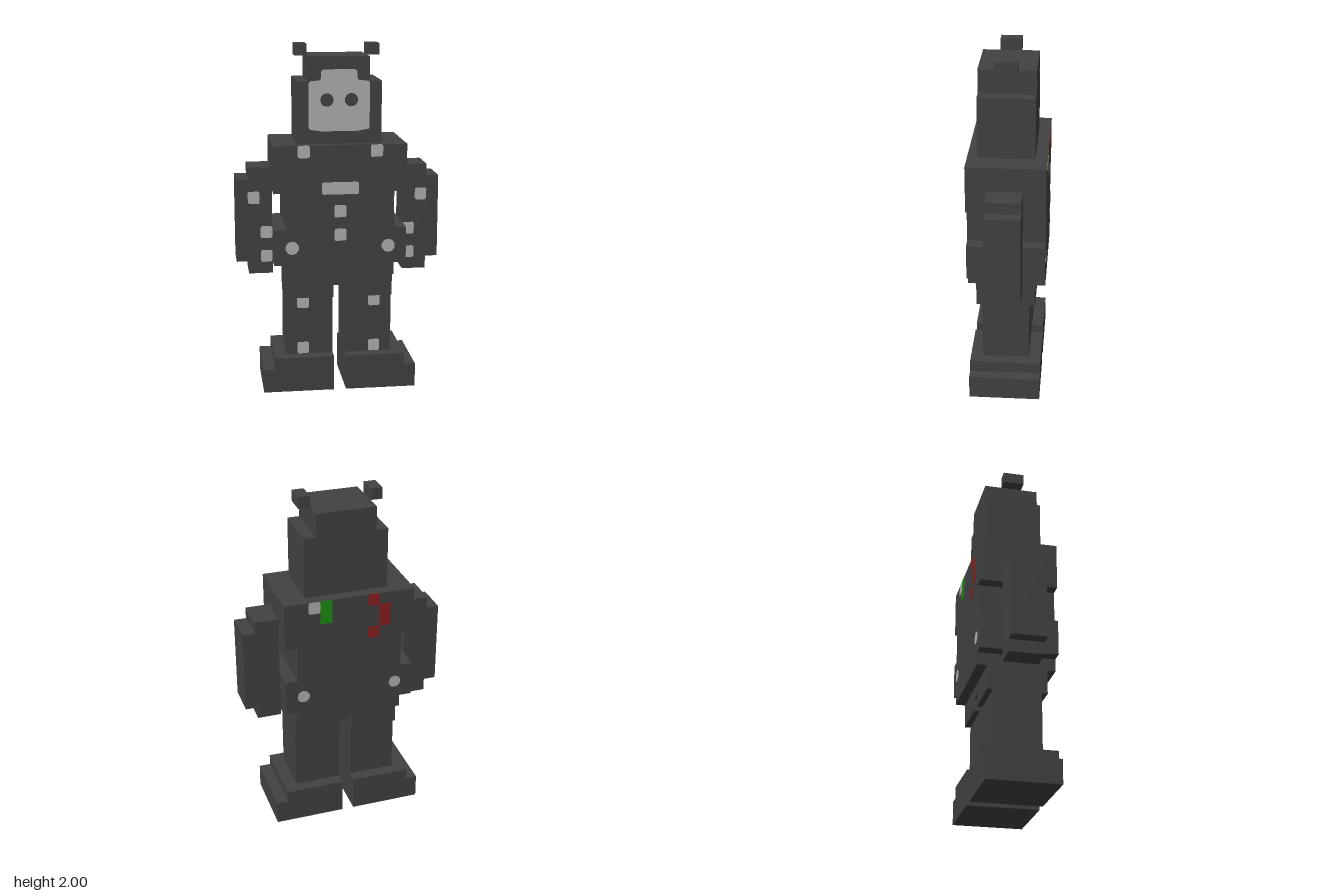
import * as THREE from 'three';

const MID = 0.005; // z centre of the body
const PLATE = 0.003; // thickness of painted details

const charcoal = new THREE.MeshStandardMaterial({ color: 0x424242 });
const lightGrey = new THREE.MeshStandardMaterial({ color: 0xb2b2b2 });
const green = new THREE.MeshStandardMaterial({ color: 0x1e9012 });
const red = new THREE.MeshStandardMaterial({ color: 0x8c1f1f });
charcoal.name = 'charcoal';
lightGrey.name = 'lightGrey';
green.name = 'green';
red.name = 'red';

const shapeOf = (pts) => new THREE.Shape(pts.map(([x, y]) => new THREE.Vector2(x, y)));

// Completes a right-half outline (listed bottom to top) with its mirror image
const mirrored = (pts) => [...pts, ...pts.map(([x, y]) => [-x, y]).reverse()];

// Rectangle with clipped corners
function clipped(x, y, w, h, c = 0.008) {
  const a = w / 2, b = h / 2;
  return shapeOf([
    [x - a + c, y - b], [x + a - c, y - b], [x + a, y - b + c], [x + a, y + b - c],
    [x + a - c, y + b], [x - a + c, y + b], [x - a, y + b - c], [x - a, y - b + c],
  ]);
}

const disc = (x, y, r, n = 10) => shapeOf(Array.from({ length: n }, (_, i) => {
  const t = ((i + 0.5) / n) * Math.PI * 2;
  return [x + r * Math.cos(t), y + r * Math.sin(t)];
}));

export function createModel() {
  const model = new THREE.Group();
  model.name = 'robot';

  function slab(name, shape, z0, z1, material = charcoal, parent = model) {
    const geo = new THREE.ExtrudeGeometry(shape, { depth: z1 - z0, bevelEnabled: false });
    geo.translate(0, 0, z0);
    const mesh = new THREE.Mesh(geo, material);
    mesh.name = name;
    parent.add(mesh);
    return mesh;
  }
  const body = (name, pts, half, parent) =>
    slab(name, shapeOf(pts), MID - half, MID + half, charcoal, parent);
  const front = (name, shape, z, parent) => slab(name, shape, z - 0.001, z + PLATE - 0.001, lightGrey, parent);
  const back = (name, shape, material) => slab(name, shape, -0.2235, -0.2205, material);

  // Torso with stepped waist, and a thin back plate
  const torso = mirrored([
    [0.307, 0.693], [0.307, 0.765], [0.378, 0.765], [0.378, 0.97],
    [0.307, 0.97], [0.307, 1.18], [0.378, 1.18], [0.378, 1.45],
  ]);
  body('torso', torso, 0.217);
  slab('backPlate', shapeOf(torso), -0.222, -0.212);

  // Hips, notched between the legs
  body('hips', mirrored([
    [0.035, 0.625], [0.035, 0.555], [0.307, 0.555], [0.307, 0.693],
  ]), 0.17);

  // Stepped head and its pale face with eye openings
  body('head', mirrored([
    [0.24, 1.45], [0.24, 1.8], [0.172, 1.8], [0.172, 1.935],
  ]), 0.16);
  const face = shapeOf(mirrored([
    [0.1, 1.52], [0.165, 1.53], [0.172, 1.54], [0.172, 1.79], [0.162, 1.8],
    [0.11, 1.805], [0.103, 1.815], [0.103, 1.85], [0.09, 1.865],
  ]));
  for (const s of [-1, 1]) face.holes.push(disc(s * 0.069, 1.695, 0.038, 12));
  front('face', face, MID + 0.16);

  // Chest buttons
  front('chestBar', clipped(0, 1.205, 0.21, 0.07), 0.222);
  for (const y of [1.073, 0.936]) front('chestButton', clipped(0, y, 0.07, 0.07), 0.222);

  // Paired parts
  for (const s of [-1, 1]) {
    const side = s > 0 ? 'left' : 'right';
    const flip = (pts) => pts.map(([x, y]) => [s * x, y]);

    const antenna = new THREE.Mesh(new THREE.BoxGeometry(0.068, 0.065, 0.122), charcoal);
    antenna.name = side + 'Antenna';
    antenna.position.set(s * 0.206, 1.9675, MID);
    model.add(antenna);

    const arm = new THREE.Group();
    arm.name = side + 'Arm';
    model.add(arm);
    body('armBlock', flip([
      [0.378, 0.693], [0.515, 0.693], [0.515, 0.765], [0.585, 0.765],
      [0.585, 1.245], [0.515, 1.245], [0.515, 1.312], [0.378, 1.312],
    ]), 0.1, arm);
    for (const [x, y] of [[0.482, 1.138], [0.412, 0.936], [0.412, 0.795]])
      front('armStud', clipped(s * x, y, 0.067, 0.07), MID + 0.1, arm);

    const leg = new THREE.Group();
    leg.name = side + 'Leg';
    model.add(leg);
    body('shin', flip([[0.035, 0.205], [0.307, 0.205], [0.307, 0.555], [0.035, 0.555]]), 0.137, leg);
    body('foot', flip([
      [0.035, 0], [0.445, 0], [0.445, 0.138], [0.378, 0.138], [0.378, 0.205], [0.035, 0.205],
    ]), 0.206, leg);
    for (const y of [0.52, 0.242])
      front('legStud', clipped(s * 0.208, y, 0.068, 0.07), MID + 0.137, leg);

    front(side + 'ShoulderStud', clipped(s * 0.206, 1.415, 0.07, 0.07), 0.222);
    front(side + 'WaistStud', disc(s * 0.275, 0.865, 0.039), 0.222);
    back(side + 'BackStud', disc(s * 0.275, 0.865, 0.037), lightGrey);
  }

  // Painted marks on the upper back
  back('backPatch', clipped(0.206, 1.415, 0.068, 0.07), lightGrey);
  back('greenMark', clipped(0.137, 1.381, 0.068, 0.138, 0.002), green);
  for (const [x, y, h] of [[-0.141, 1.415, 0.07], [-0.206, 1.314, 0.136], [-0.141, 1.214, 0.07]])
    back('redMark', clipped(x, y, 0.066, h, 0.002), red);

  return model;
}
